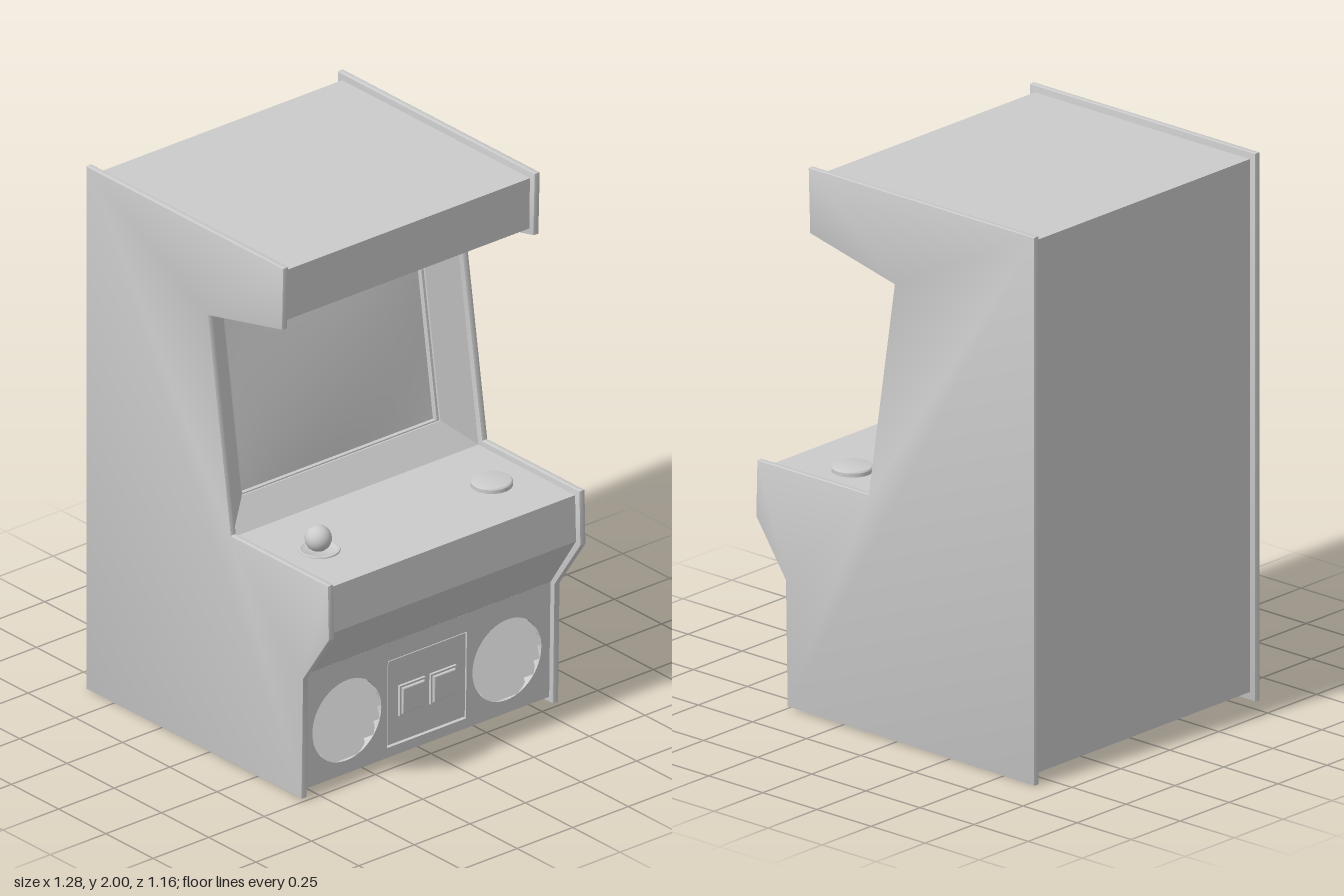
import * as THREE from 'three';
import { mergeVertices, toCreasedNormals } from 'three/addons/utils/BufferGeometryUtils.js';

const grey = new THREE.MeshStandardMaterial({ color: 0xcccccc });
const greyDouble = new THREE.MeshStandardMaterial({ color: 0xcccccc, side: THREE.DoubleSide });

function add(parent, name, geometry, x = 0, y = 0, z = 0, material = grey) {
  const mesh = new THREE.Mesh(geometry, material);
  mesh.name = name;
  mesh.position.set(x, y, z);
  parent.add(mesh);
  return mesh;
}

const shapeOf = (points) => new THREE.Shape(points.map(([x, y]) => new THREE.Vector2(x, y)));

function rectangle(x0, y0, x1, y1, Type = THREE.Path) {
  return new Type([[x0, y0], [x1, y0], [x1, y1], [x0, y1]].map(([x, y]) => new THREE.Vector2(x, y)));
}

const lathe = (points, segments = 40) =>
  toCreasedNormals(new THREE.LatheGeometry(points.map(([r, y]) => new THREE.Vector2(r, y)), segments), 0.6);

// Point on the sloped display: u runs up the slope, d goes into the cabinet
const FOOT = [0.1, 0.853];
const SLOPE = [-0.148, 0.989];
const displayPoint = (u, d, z) => [FOOT[0] + SLOPE[0] * u - SLOPE[1] * d, FOOT[1] + SLOPE[1] * u + SLOPE[0] * d, z];

function buildDisplay(parent) {
  const group = new THREE.Group();
  group.name = 'display';
  parent.add(group);

  // Dished bezel with a short step down to the screen
  const rings = [
    { u0: 0, u1: 0.846, w: 0.553, d: 0 },
    { u0: 0.107, u1: 0.795, w: 0.447, d: 0.06 },
    { u0: 0.107, u1: 0.795, w: 0.447, d: 0.068 },
    { u0: 0.112, u1: 0.785, w: 0.437, d: 0.068 },
    { u0: 0.112, u1: 0.785, w: 0.437, d: 0.09 },
  ].map(({ u0, u1, w, d }) => [
    displayPoint(u0, d, w), displayPoint(u0, d, -w), displayPoint(u1, d, -w), displayPoint(u1, d, w),
  ]);
  const positions = [];
  for (let r = 0; r < rings.length - 1; r++) {
    for (let i = 0; i < 4; i++) {
      const j = (i + 1) % 4;
      const [a, b, c, d] = [rings[r][i], rings[r][j], rings[r + 1][j], rings[r + 1][i]];
      positions.push(...a, ...b, ...c, ...a, ...c, ...d);
    }
  }
  const bezel = new THREE.BufferGeometry();
  bezel.setAttribute('position', new THREE.Float32BufferAttribute(positions, 3));
  bezel.computeVertexNormals();
  add(group, 'bezel', bezel, 0, 0, 0, greyDouble);

  // Gently bulging screen
  const screen = new THREE.PlaneGeometry(0.88, 0.68, 16, 16);
  const p = screen.attributes.position;
  for (let i = 0; i < p.count; i++) {
    const x = p.getX(i), y = p.getY(i);
    const bulge = 0.018 * (1 - (x / 0.44) ** 2) * (1 - (y / 0.34) ** 2);
    p.setXYZ(i, ...displayPoint(y + 0.449, 0.088 - bulge, -x));
  }
  screen.computeVertexNormals();
  add(group, 'screen', screen, 0, 0, 0, greyDouble);
}

function buildFrontPanel(parent) {
  // Outer group leans the panel slightly; inner group turns local +z to face +x
  const lean = new THREE.Group();
  lean.name = 'frontPanel';
  lean.position.set(0.475, 0.03, 0);
  lean.rotation.z = -0.016;
  parent.add(lean);
  const panel = new THREE.Group();
  panel.name = 'frontPanelParts';
  panel.rotation.y = Math.PI / 2;
  panel.position.y = -0.03;
  lean.add(panel);

  const speakerX = 0.36, centreY = 0.235, radius = 0.155, depth = 0.035;
  const board = rectangle(-0.553, 0.03, 0.553, 0.472, THREE.Shape);
  for (const side of [-1, 1]) {
    board.holes.push(new THREE.Path().absarc(side * speakerX, centreY, radius, 0, Math.PI * 2, true));
  }
  board.holes.push(rectangle(-0.178, 0.068, 0.178, 0.402));
  add(panel, 'frontBoard', new THREE.ExtrudeGeometry(board, { depth, bevelEnabled: false, curveSegments: 32 }), 0, 0, -depth);

  // Louvred speaker grilles
  for (const side of [-1, 1]) {
    for (let i = 0; i < 6; i++) {
      const dy = (i - 2.5) * 0.052;
      const reach = Math.max(0, Math.abs(dy) - 0.008);
      const width = 2 * Math.sqrt(radius ** 2 - reach ** 2);
      const slat = add(panel, 'speakerSlat', new THREE.BoxGeometry(width, 0.044, 0.01), side * speakerX, centreY + dy, -0.016);
      slat.rotation.x = -0.5;
    }
  }

  // Coin door with two framed push plates
  add(panel, 'coinDoor', new THREE.BoxGeometry(0.348, 0.322, 0.03), 0, 0.237, -0.017);
  for (const side of [-1, 1]) {
    const frame = rectangle(-0.058, -0.058, 0.058, 0.058, THREE.Shape);
    frame.holes.push(rectangle(-0.051, -0.051, 0.051, 0.051));
    add(panel, 'coinFrame', new THREE.ExtrudeGeometry(frame, { depth: 0.012, bevelEnabled: false }), side * 0.07, centreY, -0.004);
    const plate = rectangle(-0.047, -0.047, 0.047, 0.047, THREE.Shape);
    add(panel, 'coinPlate', new THREE.ExtrudeGeometry(plate, {
      depth: 0.014, bevelSize: 0.004, bevelOffset: -0.002, bevelThickness: 0.004, bevelSegments: 2,
    }), side * 0.07, centreY, -0.003);
  }
}

function buildControls(parent) {
  const x = 0.365, y = 0.853, z = 0.388;
  const joystick = new THREE.Group();
  joystick.name = 'joystick';
  joystick.position.set(x, y, z);
  parent.add(joystick);
  add(joystick, 'joystickBase', lathe([[0.073, 0], [0.072, 0.005], [0.064, 0.006], [0.058, 0.002], [0, 0.002]].reverse()), 0, 0, 0, greyDouble);
  add(joystick, 'joystickShaft', new THREE.CylinderGeometry(0.014, 0.02, 0.04, 20), 0, 0.02, 0);
  add(joystick, 'joystickBall', new THREE.SphereGeometry(0.047, 32, 20), -0.005, 0.043, 0);

  add(parent, 'button', lathe([[0.073, 0], [0.073, 0.014], [0.069, 0.019], [0.062, 0.021], [0, 0.021]].reverse()), x, y, -z, greyDouble);
}

export function createModel() {
  const model = new THREE.Group();
  model.name = 'arcadeCabinet';

  // Body core, set back behind the display and the lower front board
  const body = shapeOf([
    [-0.62, 0.03], [0.44, 0.03], [0.45, 0.472], [0.482, 0.472], [0.617, 0.678], [0.612, 0.853],
    [0.1, 0.853], [-0.02, 0.853], [-0.144, 1.672], [-0.025, 1.69], [0.37, 1.782], [0.373, 1.975], [-0.62, 1.975],
  ]);
  const bodyGeometry = new THREE.ExtrudeGeometry(body, { depth: 1.108, bevelEnabled: false });
  add(model, 'cabinetBody', bodyGeometry, 0, 0, -0.554);

  // Mirrored side panels with softened edges
  const side = shapeOf([
    [-0.645, 0], [0.495, 0.01], [0.503, 0.47], [0.64, 0.67], [0.635, 0.875],
    [0.12, 0.875], [0, 1.672], [0.391, 1.763], [0.398, 2], [-0.645, 2],
  ]);
  const bevel = 0.004;
  const sideGeometry = toCreasedNormals(mergeVertices(new THREE.ExtrudeGeometry(side, {
    depth: 0.025 - 2 * bevel, bevelSize: bevel, bevelThickness: bevel, bevelOffset: -bevel, bevelSegments: 2,
  })), 0.7);
  add(model, 'leftSidePanel', sideGeometry, 0, 0, 0.553 + bevel);
  add(model, 'rightSidePanel', sideGeometry, 0, 0, -0.578 + bevel);

  buildDisplay(model);
  buildFrontPanel(model);
  buildControls(model);
  return model;
}
